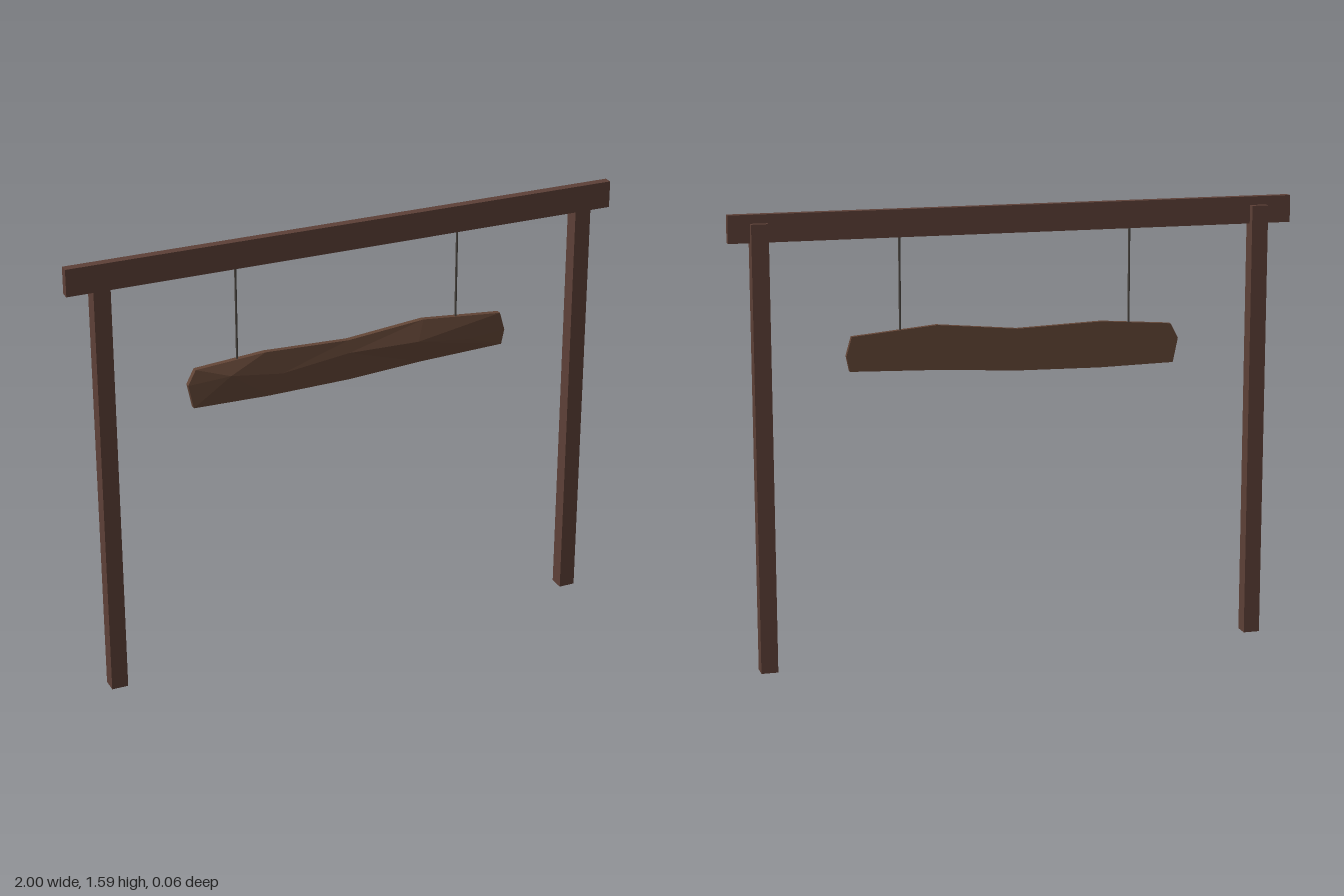
import * as THREE from 'three';

const frameWood = new THREE.MeshStandardMaterial({ color: 0x5d4037 });
frameWood.name = 'frame wood';
const boardWood = new THREE.MeshStandardMaterial({ color: 0x624536 });
boardWood.name = 'board wood';
const cord = new THREE.MeshStandardMaterial({ color: 0x4a4540 });
cord.name = 'cord';

const FRONT = 0.024, BACK = -0.031, NOTCH = -0.007, BEAM_Y = 1.495;

function part(name, geometry, material, x = 0, y = 0, z = 0) {
  const mesh = new THREE.Mesh(geometry, material);
  mesh.name = name;
  mesh.position.set(x, y, z);
  return mesh;
}

// Post with a notch cut for the beam; side profile drawn as (-z, y)
function postGeometry(width) {
  const shape = new THREE.Shape([
    [-FRONT, 0], [-BACK, 0], [-BACK, 1.56], [-NOTCH, 1.56], [-NOTCH, BEAM_Y], [-FRONT, BEAM_Y],
  ].map(([x, y]) => new THREE.Vector2(x, y)));
  return new THREE.ExtrudeGeometry(shape, { depth: width, bevelEnabled: false })
    .translate(0, 0, -width / 2).rotateY(Math.PI / 2);
}

// Rough-hewn board: flat back, thin rim, carved front with an uneven ridge
function boardGeometry() {
  const rimZ = 0.013, backZ = -0.006;
  const top = [[-0.56, 1.152], [-0.307, 1.171], [0, 1.16], [0.286, 1.187], [0.585, 1.16]];
  const bottom = [[-0.57, 1.013], [-0.297, 1.008], [0, 1.013], [0.275, 1.03], [0.593, 1.04]];
  const ridge = [[-0.44, 1.115, 0.031], [-0.25, 1.085, 0.021], [0, 1.115, 0.02], [0.26, 1.115, 0.031], [0.46, 1.085, 0.021]];
  const leftTip = [-0.588, 1.099], rightTip = [0.604, 1.094];
  const positions = [];
  const tri = (...points) => points.forEach(([x, y, z = rimZ]) => positions.push(x, y, z));

  // Front facets above and below the ridge
  for (let i = 0; i < 4; i++) {
    tri(top[i], ridge[i], top[i + 1]);
    tri(ridge[i], ridge[i + 1], top[i + 1]);
    tri(bottom[i], bottom[i + 1], ridge[i]);
    tri(bottom[i + 1], ridge[i + 1], ridge[i]);
  }
  // Front facets at the pointed ends
  tri(leftTip, ridge[0], top[0]);
  tri(leftTip, bottom[0], ridge[0]);
  tri(rightTip, top[4], ridge[4]);
  tri(rightTip, ridge[4], bottom[4]);

  // Rim and back, walking the outline counter-clockwise from the front
  const outline = [leftTip, ...bottom, rightTip, ...[...top].reverse()];
  const back = ([x, y]) => [x, y, backZ];
  outline.forEach((a, i) => {
    const b = outline[(i + 1) % outline.length];
    tri(a, back(a), b);
    tri(b, back(a), back(b));
    tri([0, 1.09, backZ], back(b), back(a));
  });

  const geometry = new THREE.BufferGeometry();
  geometry.setAttribute('position', new THREE.Float32BufferAttribute(positions, 3));
  geometry.computeVertexNormals();
  return geometry;
}

export function createModel() {
  const model = new THREE.Group();
  model.name = 'hangingSignFrame';

  // Frame
  model.add(part('beam', new THREE.BoxGeometry(2, 0.095, FRONT - NOTCH), frameWood,
    0, BEAM_Y + 0.0475, (FRONT + NOTCH) / 2));
  const post = postGeometry(0.059);
  model.add(part('rightPost', post, frameWood, -0.879));
  model.add(part('leftPost', post, frameWood, 0.896));

  // Hanging board and its two cords
  model.add(part('signBoard', boardGeometry(), boardWood));
  const cordGeometry = new THREE.CylinderGeometry(0.004, 0.004, 0.37, 8);
  model.add(part('rightCord', cordGeometry, cord, -0.407, 1.32, 0.004));
  model.add(part('leftCord', cordGeometry, cord, 0.414, 1.32, 0.004));
  return model;
}
